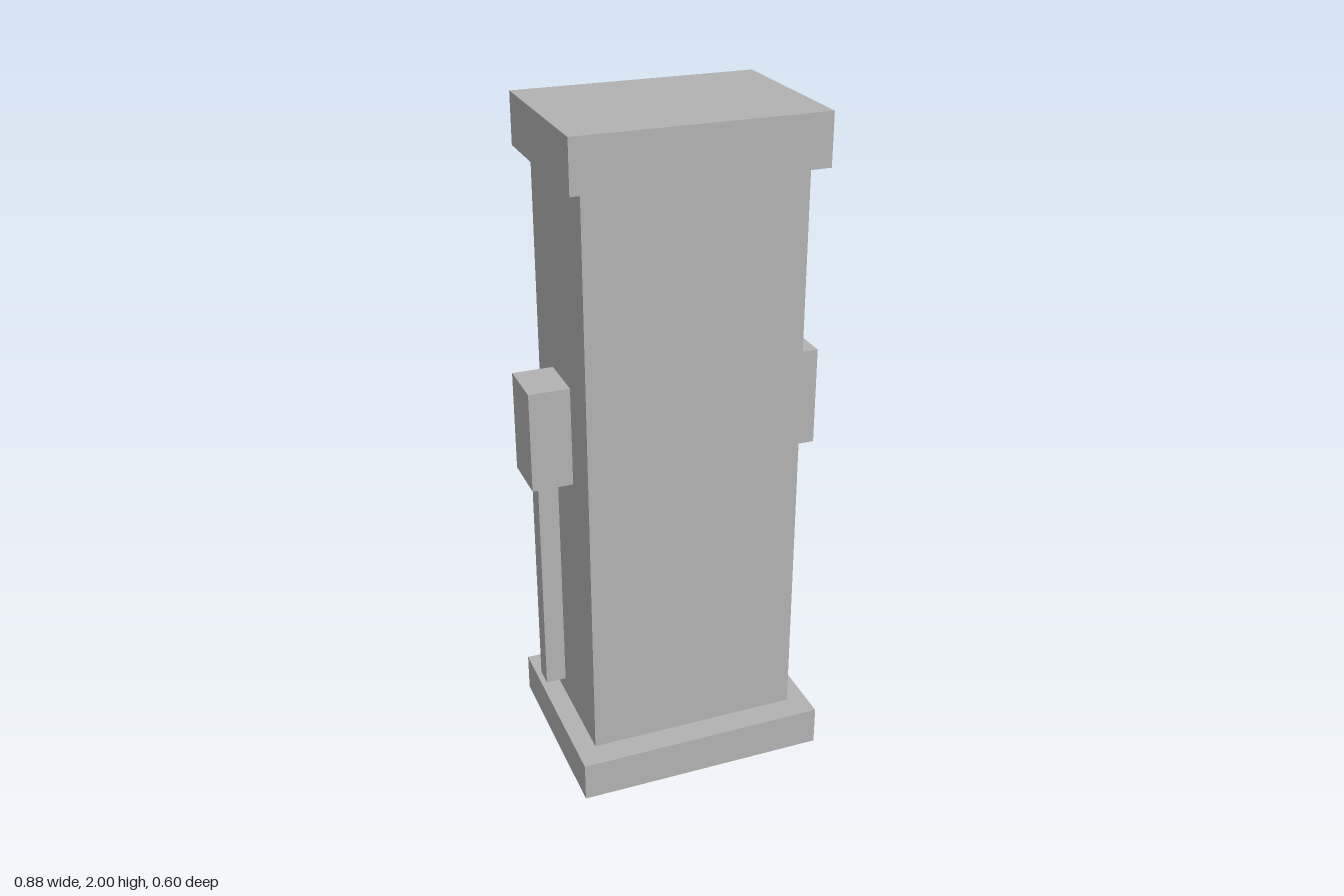
import * as THREE from 'three';

export function createModel() {
  const model = new THREE.Group();
  model.name = 'pumpPillar';
  const grey = new THREE.MeshStandardMaterial({ color: 0xb2b2b2 });
  grey.name = 'grey';

  // Box of the given width and depth, spanning y0 to y1, centred on x
  const addBox = (name, width, depth, y0, y1, x = 0) => {
    const mesh = new THREE.Mesh(new THREE.BoxGeometry(width, y1 - y0, depth), grey);
    mesh.name = name;
    mesh.position.set(x, (y0 + y1) / 2, 0);
    model.add(mesh);
  };

  // Pillar
  addBox('base', 0.76, 0.6, 0, 0.12);
  addBox('column', 0.64, 0.44, 0.12, 1.85);
  addBox('cap', 0.72, 0.52, 1.85, 2);

  // Side holders with hanging rods
  for (const [side, sign] of [['left', 1], ['right', -1]]) {
    addBox(side + 'Holder', 0.12, 0.16, 0.95, 1.25, sign * 0.38);
    addBox(side + 'Rod', 0.06, 0.06, 0.25, 0.95, sign * 0.38);
  }
  return model;
}
